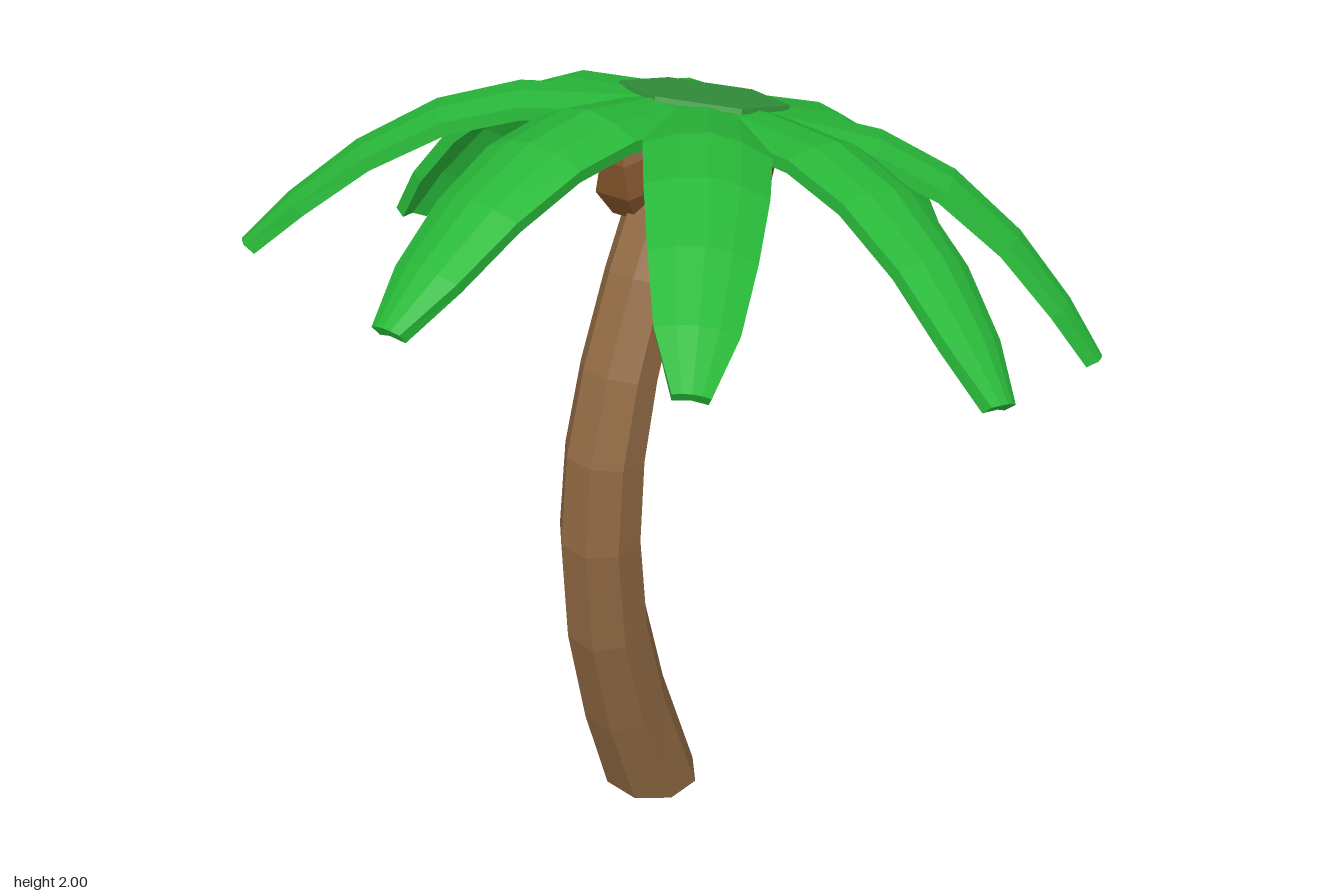
import * as THREE from 'three';

const mat = (color) => new THREE.MeshStandardMaterial({ color, flatShading: true });

// Closed solid through rings of points, each ring counter-clockwise about the forward direction
function loft(rings) {
  const pos = [], n = rings[0].length;
  const tri = (...pts) => pts.forEach((p) => pos.push(p.x, p.y, p.z));
  for (let r = 0; r < rings.length - 1; r++) {
    const a = rings[r], b = rings[r + 1];
    for (let i = 0; i < n; i++) {
      const j = (i + 1) % n;
      tri(a[i], a[j], b[j]);
      tri(a[i], b[j], b[i]);
    }
  }
  const first = rings[0], last = rings[rings.length - 1];
  for (let i = 1; i < n - 1; i++) {
    tri(first[0], first[i + 1], first[i]);
    tri(last[0], last[i], last[i + 1]);
  }
  const g = new THREE.BufferGeometry();
  g.setAttribute('position', new THREE.Float32BufferAttribute(pos, 3));
  g.computeVertexNormals();
  return g;
}

// Curved, tapering eight-sided trunk: x, y, z, radius
function trunkGeometry() {
  const path = [
    [-0.045, 0.01, 0.055, 0.118], [-0.02, 0.35, 0.175, 0.106], [0.005, 0.66, 0.26, 0.1],
    [0.022, 0.95, 0.295, 0.097], [0.025, 1.17, 0.278, 0.094], [0.018, 1.36, 0.22, 0.09],
    [0, 1.55, 0.122, 0.086], [-0.03, 1.7, 0.01, 0.08], [-0.06, 1.81, -0.13, 0.075],
  ];
  const pts = path.map((p) => new THREE.Vector3(p[0], p[1], p[2]));
  return loft(path.map((p, i) => {
    const t = i === 0 ? new THREE.Vector3(0, 1, -0.07)
      : pts[Math.min(i + 1, pts.length - 1)].clone().sub(pts[i - 1]);
    t.normalize();
    const u = new THREE.Vector3(1, 0, 0).addScaledVector(t, -t.x).normalize();
    const v = t.clone().cross(u);
    return Array.from({ length: 8 }, (_, k) => {
      const a = ((k + 0.5) / 8) * Math.PI * 2;
      return pts[i].clone().addScaledVector(u, p[3] * Math.cos(a)).addScaledVector(v, p[3] * Math.sin(a));
    });
  }));
}

// Drooping, slightly folded leaf pointing along +z: distance, height, half width
function frondGeometry() {
  const path = [
    [0, 0, 0.06], [0.18, 0, 0.134], [0.39, -0.02, 0.138], [0.56, -0.085, 0.132],
    [0.72, -0.2, 0.114], [0.85, -0.335, 0.088], [0.94, -0.455, 0.04],
  ];
  return loft(path.map(([r, h, w], i) => {
    const a = path[Math.max(i - 1, 0)], b = path[Math.min(i + 1, path.length - 1)];
    const slope = Math.atan2(b[1] - a[1], b[0] - a[0]);
    const drop = -0.3 * w, thick = 0.03;
    const section = [[w, drop], [0.5 * w, drop * 0.3], [0, 0], [-0.5 * w, drop * 0.3], [-w, drop],
      [-w * 0.93, drop - thick], [0, -thick], [w * 0.93, drop - thick]];
    return section.map(([x, y]) =>
      new THREE.Vector3(x, h + y * Math.cos(slope), r - y * Math.sin(slope)));
  }));
}

export function createModel() {
  const model = new THREE.Group();
  model.name = 'palmTree';
  const add = (parent, name, geometry, material) => {
    const m = new THREE.Mesh(geometry, material);
    m.name = name;
    parent.add(m);
    return m;
  };

  add(model, 'trunk', trunkGeometry(), mat(0x8f6842));

  // Crown of eight fronds, tilted along the end of the trunk
  const crown = new THREE.Group();
  crown.name = 'crown';
  crown.position.set(-0.065, 1.86, -0.16);
  crown.quaternion.setFromUnitVectors(
    new THREE.Vector3(0, 1, 0), new THREE.Vector3(-0.174, 1, -0.42).normalize());
  model.add(crown);
  const leaf = frondGeometry(), green = mat(0x29ba3a);
  // Small turn and length of each frond, starting at the front
  const fronds = [[-0.01, 0.99], [-0.06, 1], [-0.07, 1.01], [-0.125, 1.02],
    [-0.07, 1], [-0.02, 1.02], [-0.12, 1.02], [-0.11, 1.04]];
  fronds.forEach(([turn, length], i) => {
    const m = add(crown, `frond${i + 1}`, leaf, green);
    m.rotation.y = (i / 8) * Math.PI * 2 + turn;
    m.scale.z = length;
  });

  // Six-sided cap where the fronds meet
  const cap = add(crown, 'crownCap', new THREE.CylinderGeometry(0.19, 0.19, 0.012, 6), mat(0x36993e));
  cap.rotation.y = 0.08;

  // Coconuts under the crown
  const nut = new THREE.SphereGeometry(0.098, 6, 4), brown = mat(0x784b26);
  [[-0.19, 1.665, -0.09, 0.3], [-0.08, 1.75, 0.06, 0.1], [-0.01, 1.675, -0.21, 0.8]].forEach(([x, y, z, turn], i) => {
    const m = add(model, `coconut${i + 1}`, nut, brown);
    m.position.set(x, y, z);
    m.rotation.set(0.15, turn, 0.1);
    m.scale.set(0.92, 1.02, 0.92);
  });

  return model;
}
